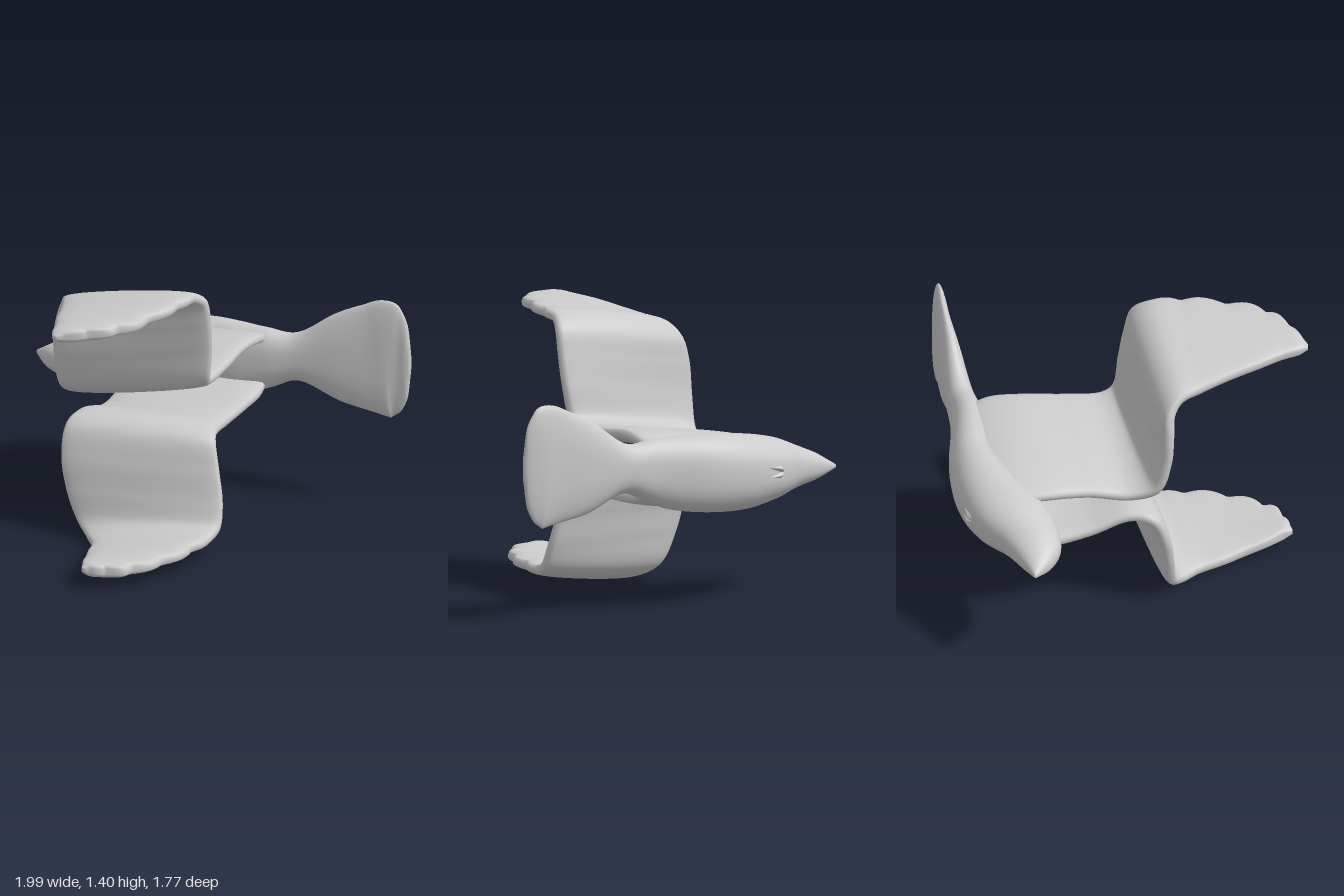
import * as THREE from 'three';

const material = new THREE.MeshStandardMaterial({ color: 0xcccccc, side: THREE.DoubleSide });

// Closed skin through stations [ax,ay,az, bx,by,bz, halfThickness];
// a and b are the two edges of each cross-section, pow < 1 flattens its faces.
function loft(name, stations, { pow = 1, steps = 100, sides = 40, edge = () => 0 } = {}) {
  const curve = (k) => new THREE.CatmullRomCurve3(
    stations.map((s) => new THREE.Vector3(s[k], s[k + 1], s[k + 2])));
  const edgeA = curve(0), edgeB = curve(3);
  const thickness = new THREE.CatmullRomCurve3(
    stations.map((s, i) => new THREE.Vector3(i * 0.1, s[6], 0)));
  const centre = (u) => edgeA.getPoint(u).add(edgeB.getPoint(u)).multiplyScalar(0.5);
  const positions = [], index = [];

  for (let i = 0; i <= steps; i++) {
    const u = i / steps;
    const mid = centre(u);
    const half = edgeA.getPoint(u).sub(edgeB.getPoint(u)).multiplyScalar(0.5);
    const dir = half.clone().normalize();
    const tangent = centre(Math.min(1, u + 0.012)).sub(centre(Math.max(0, u - 0.012)));
    const normal = tangent.cross(dir).normalize();
    const h = Math.max(0.002, thickness.getPoint(u).y);
    for (let j = 0; j < sides; j++) {
      const a = (j / sides) * Math.PI * 2, c = Math.cos(a), s = Math.sin(a);
      const p = mid.clone().addScaledVector(half, c)
        .addScaledVector(dir, Math.max(0, c) * edge(u))
        .addScaledVector(normal, h * Math.sign(s) * Math.abs(s) ** pow);
      positions.push(p.x, p.y, p.z);
      if (i < steps) {
        const k = (j + 1) % sides, r = i * sides, q = r + sides;
        index.push(r + j, r + k, q + k, r + j, q + k, q + j);
      }
    }
  }
  // end caps
  const last = steps * sides;
  for (let j = 1; j < sides - 1; j++) {
    index.push(0, j + 1, j, last, last + j, last + j + 1);
  }
  const geometry = new THREE.BufferGeometry();
  geometry.setAttribute('position', new THREE.Float32BufferAttribute(positions, 3));
  geometry.setIndex(index);
  geometry.computeVertexNormals();
  const mesh = new THREE.Mesh(geometry, material);
  mesh.name = name;
  return mesh;
}

// Scalloped feather tips along the outer panel's front edge
const scallops = (u) => (u < 0.62 ? 0 : 0.032 * (Math.abs(Math.sin((u - 0.62) * Math.PI * 14)) - 0.5)
  * Math.min(1, (u - 0.62) * 12) * Math.min(1, (1 - u) * 8));

export function createModel() {
  const group = new THREE.Group();
  group.name = 'bird';

  // Body from beak to fanned tail: outer side, inner side, half height
  group.add(loft('body', [
    [0.185, 0.63, -0.885, 0.172, 0.63, -0.88, 0.01],
    [0.27, 0.635, -0.79, 0.11, 0.635, -0.77, 0.065],
    [0.38, 0.645, -0.68, 0.09, 0.645, -0.65, 0.105],
    [0.53, 0.66, -0.57, 0.17, 0.66, -0.46, 0.155],
    [0.66, 0.67, -0.38, 0.35, 0.67, -0.28, 0.19],
    [0.74, 0.685, -0.15, 0.5, 0.685, -0.11, 0.195],
    [0.765, 0.7, 0.03, 0.56, 0.7, 0.06, 0.185],
    [0.785, 0.725, 0.16, 0.63, 0.725, 0.22, 0.155],
    [0.83, 0.745, 0.3, 0.7, 0.745, 0.35, 0.125],
    [0.9, 0.765, 0.5, 0.79, 0.765, 0.54, 0.23],
    [0.95, 0.785, 0.67, 0.865, 0.785, 0.69, 0.285],
    [0.98, 0.795, 0.76, 0.905, 0.795, 0.78, 0.31],
    [0.99, 0.795, 0.82, 0.935, 0.795, 0.83, 0.28],
    [0.992, 0.795, 0.865, 0.95, 0.795, 0.868, 0.2],
    [0.985, 0.795, 0.883, 0.962, 0.795, 0.885, 0.07],
  ], { pow: 0.8, steps: 120 }));

  // Wings, root to tip: shoulder curving out of the body, inner panel,
  // upright panel, outer panel (front edge, back edge, half thickness)
  const wing = { pow: 0.5, steps: 180, edge: scallops };
  group.add(loft('upperWing', [
    [0.75, 0.71, 0.1, 0.57, 0.67, -0.53, 0.04],
    [0.72, 0.8, 0.16, 0.48, 0.73, -0.53, 0.045],
    [0.62, 0.855, 0.22, 0.34, 0.77, -0.49, 0.043],
    [0.45, 0.87, 0.26, 0.19, 0.775, -0.43, 0.042],
    [0.25, 0.85, 0.32, 0, 0.75, -0.34, 0.042],
    [0.06, 0.845, 0.38, -0.2, 0.72, -0.29, 0.043],
    [0, 0.88, 0.42, -0.33, 0.77, -0.28, 0.045],
    [-0.025, 1.05, 0.455, -0.385, 0.93, -0.275, 0.045],
    [-0.05, 1.2, 0.47, -0.395, 1.09, -0.265, 0.045],
    [-0.085, 1.32, 0.475, -0.395, 1.2, -0.235, 0.045],
    [-0.16, 1.37, 0.475, -0.43, 1.265, -0.18, 0.044],
    [-0.3, 1.38, 0.5, -0.52, 1.285, -0.1, 0.043],
    [-0.5, 1.38, 0.51, -0.65, 1.31, 0, 0.042],
    [-0.7, 1.375, 0.5, -0.78, 1.33, 0.09, 0.042],
    [-0.83, 1.37, 0.44, -0.88, 1.34, 0.17, 0.04],
    [-0.93, 1.36, 0.35, -0.96, 1.345, 0.22, 0.035],
    [-0.995, 1.35, 0.28, -0.998, 1.348, 0.255, 0.012],
  ], wing));
  group.add(loft('lowerWing', [
    [0.75, 0.71, 0.1, 0.57, 0.67, -0.53, 0.04],
    [0.72, 0.64, 0.16, 0.48, 0.6, -0.52, 0.045],
    [0.62, 0.58, 0.22, 0.35, 0.52, -0.47, 0.045],
    [0.45, 0.555, 0.26, 0.2, 0.48, -0.42, 0.045],
    [0.25, 0.55, 0.32, 0, 0.51, -0.34, 0.045],
    [0.07, 0.56, 0.4, -0.2, 0.58, -0.27, 0.045],
    [0.02, 0.53, 0.44, -0.32, 0.55, -0.255, 0.045],
    [-0.005, 0.4, 0.485, -0.375, 0.41, -0.235, 0.045],
    [-0.025, 0.25, 0.525, -0.385, 0.25, -0.195, 0.045],
    [-0.07, 0.14, 0.55, -0.385, 0.1, -0.125, 0.045],
    [-0.15, 0.11, 0.565, -0.42, 0.043, -0.03, 0.042],
    [-0.3, 0.11, 0.59, -0.48, 0.035, 0.06, 0.042],
    [-0.5, 0.11, 0.6, -0.6, 0.05, 0.14, 0.042],
    [-0.68, 0.11, 0.57, -0.71, 0.07, 0.22, 0.042],
    [-0.8, 0.11, 0.52, -0.8, 0.09, 0.28, 0.04],
    [-0.87, 0.11, 0.43, -0.86, 0.105, 0.33, 0.035],
    [-0.9, 0.11, 0.38, -0.9, 0.11, 0.36, 0.012],
  ], wing));

  return group;
}
